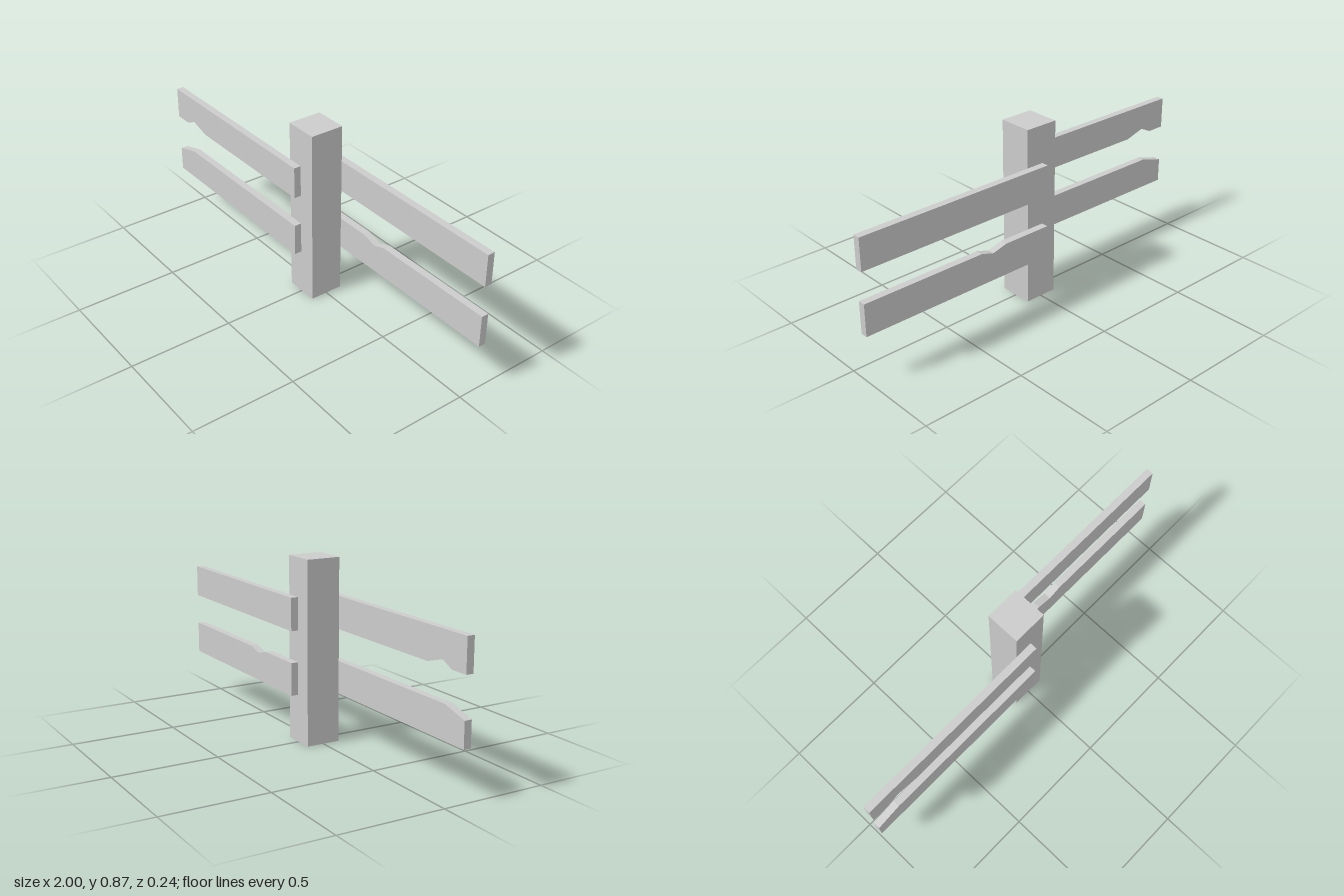
import * as THREE from 'three';

const T = 0.035; // board thickness

export function createModel() {
  const group = new THREE.Group();
  group.name = 'fencePost';
  const material = new THREE.MeshStandardMaterial({ color: 0xcccccc, flatShading: true });

  function add(name, geometry, x, y, z) {
    const mesh = new THREE.Mesh(geometry, material);
    mesh.name = name;
    mesh.position.set(x, y, z);
    group.add(mesh);
  }

  // Board cut from an outline: optional extra points along the bottom and top edges
  function board(name, x0, x1, y0, y1, zBack, { bottom = [], top = [[x1, y1], [x0, y1]] } = {}) {
    const outline = [[x0, y0], ...bottom, [x1, y0], ...top];
    const shape = new THREE.Shape(outline.map(([x, y]) => new THREE.Vector2(x, y)));
    add(name, new THREE.ExtrudeGeometry(shape, { depth: T, bevelEnabled: false }), 0, 0, zBack);
  }

  // Square upright
  add('post', new THREE.BoxGeometry(0.165, 0.866, 0.165), 0, 0.433, 0);

  // Front boards run to the model's right
  const low = [0.228, 0.383], high = [0.532, 0.686];
  const front = 0.086, back = -front - T;
  board('frontUpperBoard', -1, 0.002, ...high, front, {
    bottom: [[-0.91, 0.532], [-0.85, 0.561], [-0.75, 0.532]], // chipped lower edge
  });
  board('frontLowerBoard', -1, 0.002, ...low, front, {
    top: [[0.002, 0.383], [-0.873, 0.383], [-1, 0.347]], // broken corner
  });

  // Back boards run to the model's left
  board('backUpperBoard', -0.002, 1, ...high, back);
  board('backLowerBoard', -0.002, 1, ...low, back, {
    top: [[1, 0.383], [0.386, 0.383], [0.32, 0.363], [0.245, 0.383], [-0.002, 0.383]], // nicked top edge
  });

  return group;
}
